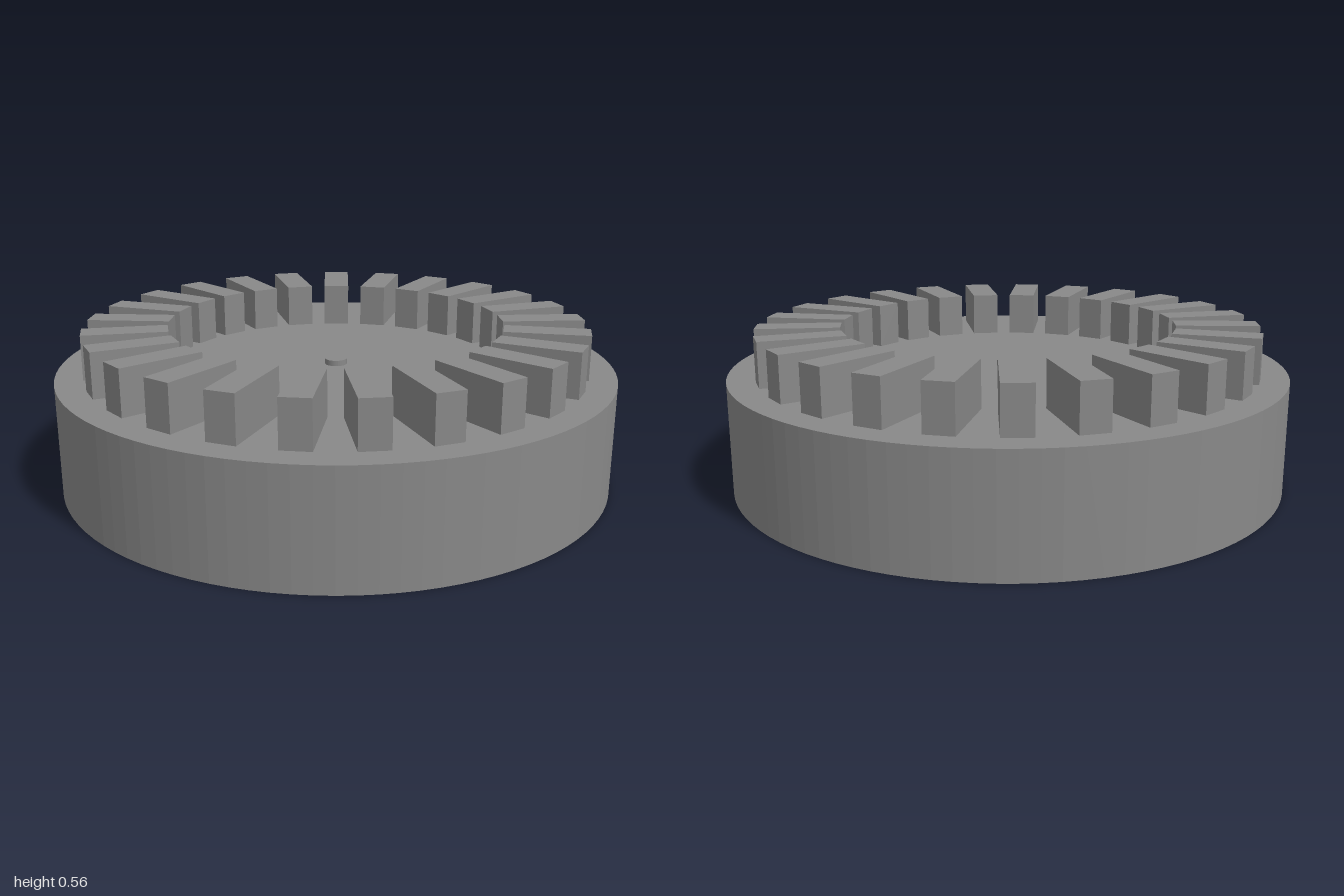
import * as THREE from 'three';

export function createModel() {
  const model = new THREE.Group();
  const material = new THREE.MeshStandardMaterial({ color: 0x888888, flatShading: true });

  const add = (name, geometry, parent = model) => {
    const mesh = new THREE.Mesh(geometry, material);
    mesh.name = name;
    parent.add(mesh);
    return mesh;
  };

  // Thick disc with a blind bore in its underside
  const profile = [[0, 0.36], [0.29, 0.36], [0.29, 0], [1, 0], [1, 0.4], [0, 0.4]]
    .map(([r, y]) => new THREE.Vector2(r, y));
  add('boredDisc', new THREE.LatheGeometry(profile, 100));

  // Small raised pin at the centre of the top
  add('centrePin', new THREE.CylinderGeometry(0.04, 0.04, 0.02, 32)).position.y = 0.41;

  // Ring of radial teeth, the first one pointing to the back
  const teeth = new THREE.Group();
  teeth.name = 'toothRing';
  model.add(teeth);
  const count = 25;
  const toothGeometry = new THREE.BoxGeometry(0.1, 0.16, 0.3).translate(0, 0.48, -0.75);
  for (let i = 0; i < count; i++) {
    add('tooth', toothGeometry, teeth).rotation.y = (i / count) * Math.PI * 2;
  }

  return model;
}
